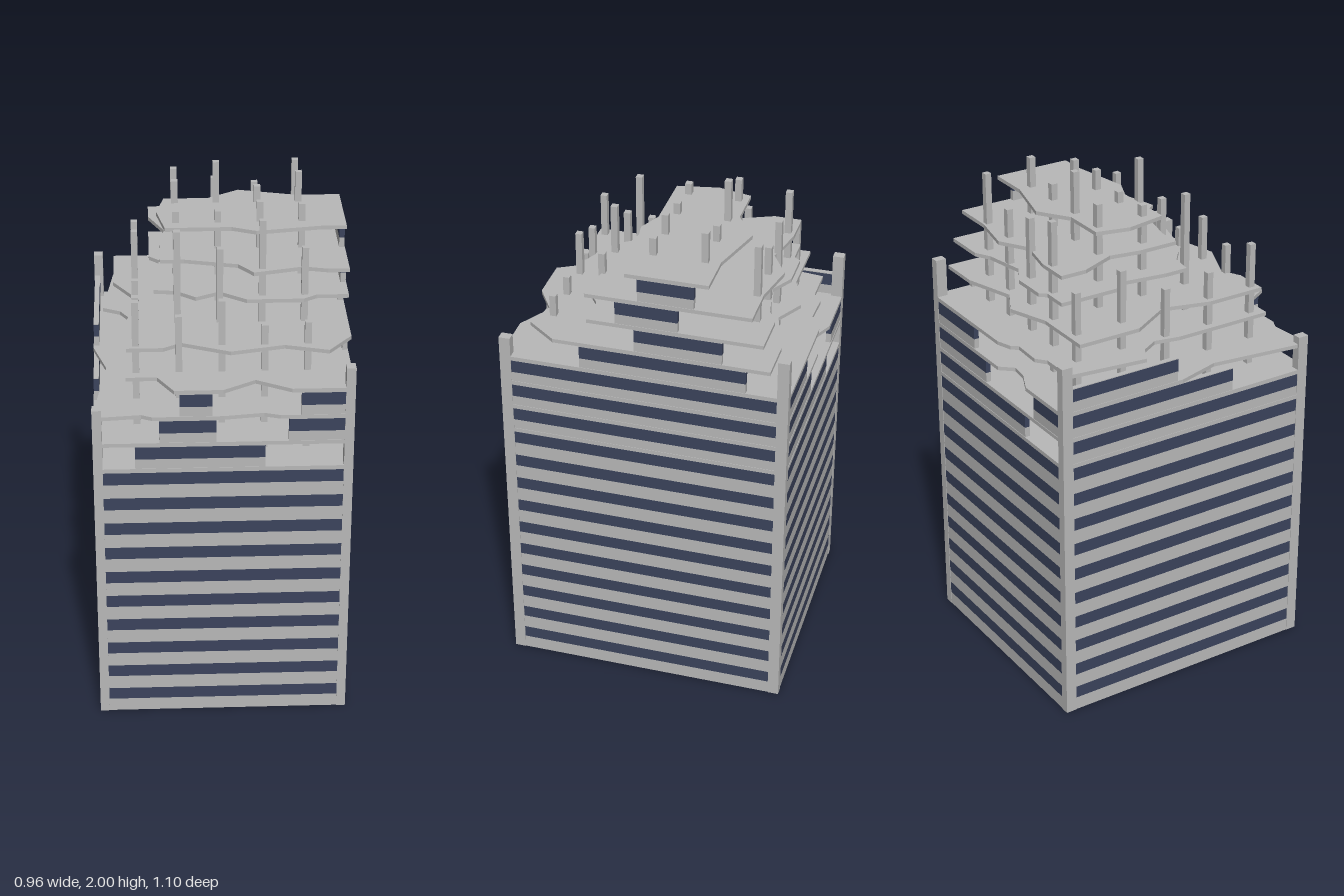
import * as THREE from 'three';

const PITCH = 0.1071; // storey height
const HX = 0.48, HZ = 0.55; // half width and half depth
const PX = 0.035, PZ = 0.043; // corner post section
const INSET = 0.002, THICK = 0.02;

export function createModel() {
  const concrete = new THREE.MeshStandardMaterial({ color: 0xb8b8b8 });
  concrete.name = 'concrete';
  const glass = new THREE.MeshStandardMaterial({ color: 0x3b435c });
  glass.name = 'dark glass';
  const model = new THREE.Group();
  model.name = 'ruinedTower';

  const group = (name) => {
    const g = new THREE.Group();
    g.name = name;
    model.add(g);
    return g;
  };
  // Box given by its lower and upper corners
  const box = (parent, name, mat, [x0, y0, z0], [x1, y1, z1]) => {
    const mesh = new THREE.Mesh(new THREE.BoxGeometry(x1 - x0, y1 - y0, z1 - z0), mat);
    mesh.position.set((x0 + x1) / 2, (y0 + y1) / 2, (z0 + z1) / 2);
    mesh.name = name;
    parent.add(mesh);
  };

  // Corner posts, broken off at different heights
  const posts = group('cornerPosts');
  for (const [sx, sz, h] of [[-1, 1, 1.33], [1, 1, 1.485], [1, -1, 1.56], [-1, -1, 1.48]]) {
    const x = sx * (HX - PX / 2), z = sz * (HZ - PZ / 2);
    box(posts, 'cornerPost', concrete, [x - PX / 2, 0, z - PZ / 2], [x + PX / 2, h, z + PZ / 2]);
  }

  // Walls: each storey is a concrete spandrel below a glass band.
  // Storeys are whole unless a list of surviving spans is given.
  const EX = HX - PX, EZ = HZ - PZ;
  const walls = [
    { name: 'frontWall', axis: 'x', side: 1, top: 12, end: EX,
      spans: { 10: [[-0.325, 0.155]], 11: [[-0.235, -0.025], [0.24, EX]], 12: [[-0.16, -0.04], [0.285, EX]] } },
    { name: 'backWall', axis: 'x', side: -1, top: 12, end: EX,
      spans: { 10: [[-0.205, EX]], 11: [[-EX, -0.27], [0.08, EX]], 12: [[0.165, EX]] } },
    { name: 'leftWall', axis: 'z', side: 1, top: 16, end: EZ,
      spans: { 13: [[-0.39, 0.24]], 14: [[-0.3, 0.03]], 15: [[-0.135, 0.1]], 16: [[-0.195, 0.015]] } },
    { name: 'rightWall', axis: 'z', side: -1, top: 12, end: EZ,
      spans: { 11: [[-EZ, 0.2]], 12: [[-EZ, -0.05]] } },
  ];
  for (const w of walls) {
    const g = group(w.name);
    const outer = (w.axis === 'x' ? HZ : HX) - INSET;
    const d = w.side > 0 ? [outer - THICK, outer] : [-outer, -outer + THICK];
    for (let k = 0; k <= w.top; k++) {
      const y = k * PITCH;
      for (const [a, b] of w.spans[k] || [[-w.end, w.end]]) {
        const band = (name, mat, y0, y1) => w.axis === 'x'
          ? box(g, name, mat, [a, y0, d[0]], [b, y1, d[1]])
          : box(g, name, mat, [d[0], y0, a], [d[1], y1, b]);
        band('spandrel', concrete, y, y + 0.054);
        band('windowBand', glass, y + 0.054, y + 0.104);
        band('lintel', concrete, y + 0.104, y + PITCH);
      }
    }
  }

  // Floor slabs with broken outlines, as [x, z] points
  const whole = [[-HX, -HZ], [HX, -HZ], [HX, HZ], [-HX, HZ]];
  const slabs = {
    10: whole,
    11: whole,
    12: [[HX, HZ], [0.21, HZ], [0.15, 0.53], [0, HZ], [-0.26, HZ], [-0.3, 0.53], [-0.45, 0.545],
      [-0.475, 0.505], [-0.43, 0.145], [-HX, -0.03], [-HX, -HZ], [-0.22, -HZ], [-0.13, -0.508],
      [-0.06, -0.5], [-0.015, -HZ], [HX, -HZ]],
    13: [[HX, HZ], [0.25, HZ], [0.12, 0.475], [0, HZ], [-0.18, HZ], [-0.24, 0.44], [-0.355, 0.44],
      [-0.355, 0.04], [-0.335, -0.06], [-0.375, -0.13], [-0.443, -0.165], [-0.405, -0.478],
      [-0.26, -0.478], [-0.22, -0.51], [-0.1, -0.505], [-0.08, -0.53], [-0.02, -HZ], [HX, -HZ]],
    14: [[HX, 0.34], [0.39, 0.455], [0.23, 0.408], [0.03, 0.455], [-0.15, 0.376], [-0.215, 0.417],
      [-0.35, 0.417], [-0.35, 0.18], [-0.3, 0], [-0.4, -0.17], [-0.4, -0.425], [-0.16, -0.425],
      [0, -0.48], [0.11, -0.42], [0.31, -0.48], [HX, -0.48]],
    15: [[HX, 0.207], [0.36, 0.207], [0.31, 0.24], [0.1, 0.24], [0, 0.166], [-0.09, 0.213],
      [-0.16, 0.155], [-0.245, 0.143], [-0.245, 0.05], [-0.22, -0.13], [-0.26, -0.17], [-0.26, -0.415],
      [-0.16, -0.415], [-0.14, -0.44], [0, -0.44], [0.09, -0.39], [0.25, -0.42], [0.31, -0.453], [HX, -0.453]],
    16: [[HX, 0.213], [0.4, 0.213], [0.31, 0.19], [0.125, 0.237], [0.07, 0.16], [-0.13, 0.11],
      [-0.22, 0.11], [-0.22, -0.05], [-0.2, -0.17], [-0.26, -0.31], [-0.26, -0.415], [-0.13, -0.415],
      [0.03, -0.38], [0.14, -0.445], [0.31, -0.41], [HX, -0.41]],
    17: [[HX, 0.06], [0.385, 0.06], [0.14, 0.1], [0.05, 0.06], [-0.2, 0.06], [-0.23, -0.1],
      [-0.2, -0.23], [-0.03, -0.23], [0.09, -0.31], [0.31, -0.25], [HX, -0.25]],
  };
  const floors = group('floorSlabs');
  for (const [k, outline] of Object.entries(slabs)) {
    const shape = new THREE.Shape(outline.map(([x, z]) => new THREE.Vector2(x, -z)));
    const geo = new THREE.ExtrudeGeometry(shape, { depth: 0.015, bevelEnabled: false });
    geo.rotateX(-Math.PI / 2);
    const slab = new THREE.Mesh(geo, concrete);
    slab.position.y = k * PITCH;
    slab.name = 'floorSlab';
    floors.add(slab);
  }

  // Inner columns: top heights, rows from front to back, columns along +x
  const tops = [
    [1.69, 1.63, 1.69, 1.59, 1.6],
    [1.62, 1.88, 1.81, 1.92, 1.81],
    [1.6, 1.88, 1.88, 1.915, 1.905],
    [1.72, 1.925, 2.0, 1.9, 1.955],
    [1.68, 1.9, 1.86, 1.84, 1.93],
  ];
  const columns = group('innerColumns');
  const r = 0.0125;
  tops.forEach((row, j) => row.forEach((h, i) => {
    const x = (i - 2) * 0.158, z = (2 - j) * 0.194;
    box(columns, 'column', concrete, [x - r, 10 * PITCH, z - r], [x + r, h, z + r]);
  }));

  return model;
}
